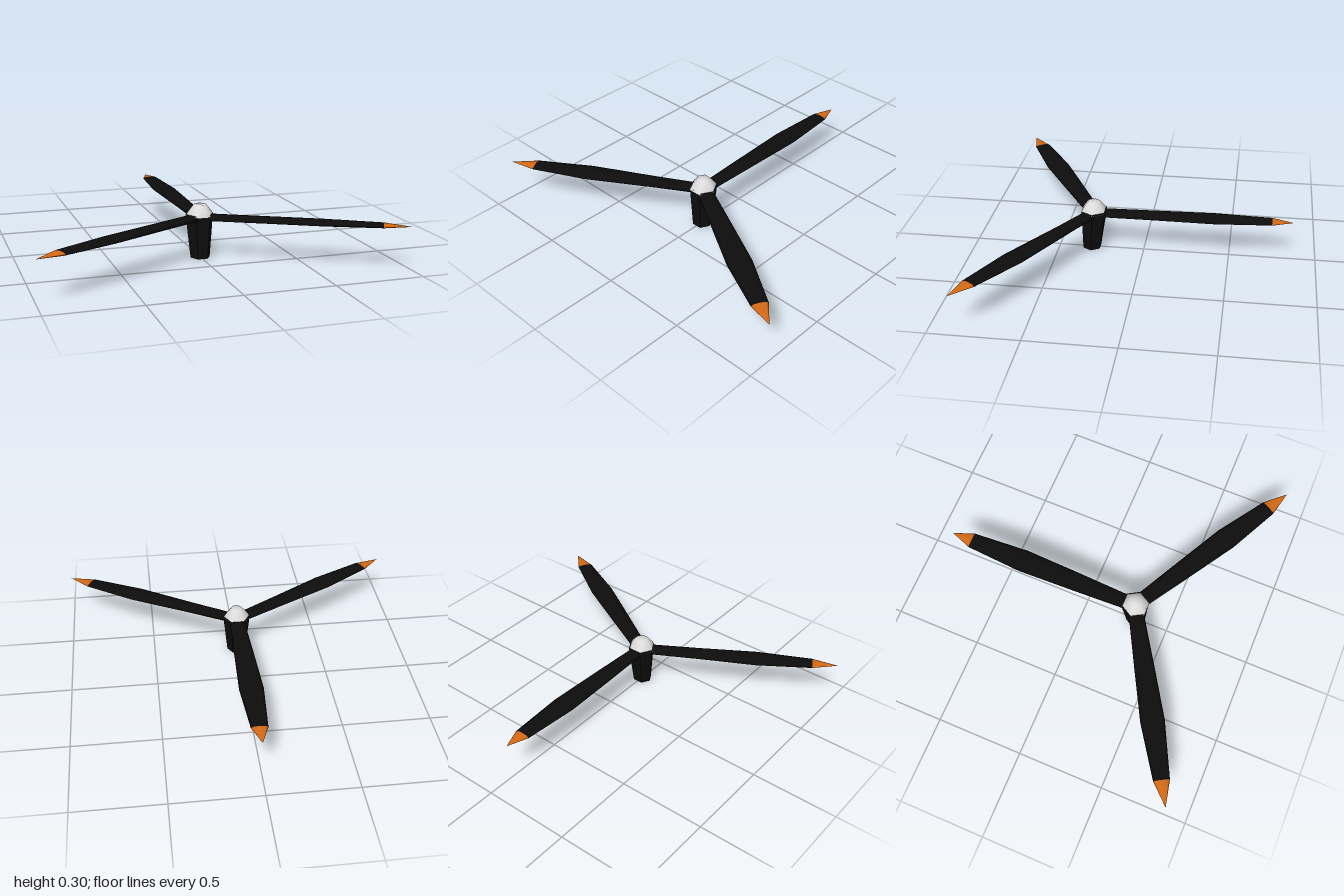
import * as THREE from 'three';
import { mergeVertices } from 'three/addons/utils/BufferGeometryUtils.js';

const black = new THREE.MeshStandardMaterial({ name: 'black', color: 0x0d0d0d });
const orange = new THREE.MeshStandardMaterial({ name: 'orange', color: 0xd66a14 });
const white = new THREE.MeshStandardMaterial({ name: 'white', color: 0xdcdcdc });

const HUB_Z = 0.29;

// Loft through oval sections [radius, halfWidth, halfThickness, height], running along +z
function loft(sections) {
  const geo = new THREE.LatheGeometry(sections.map((_, i) => new THREE.Vector2(1, i)), 8);
  const p = geo.attributes.position;
  for (let i = 0; i < p.count; i++) {
    const [r, w, t, h] = sections[Math.round(p.getY(i))];
    p.setXYZ(i, p.getX(i) * w, -p.getZ(i) * t + h, r);
  }
  geo.deleteAttribute('uv');
  geo.deleteAttribute('normal');
  const merged = mergeVertices(geo, 1e-5);
  merged.computeVertexNormals();
  return merged;
}

function add(parent, name, geo, material) {
  const mesh = new THREE.Mesh(geo, material);
  mesh.name = name;
  parent.add(mesh);
  return mesh;
}

// One blade: slim root, widest past the middle, pointed orange end
function makeBlade(name, angle, wide, tipStart) {
  const blade = new THREE.Group();
  blade.name = name;
  const end = [tipStart, 0.046, 0.011, 0.235];
  add(blade, 'bladeBody', loft([
    [0.04, 0.043, 0.02, 0.226],
    [0.35, 0.056, 0.016, 0.229],
    [wide, 0.068, 0.013, 0.232],
    end,
  ]), black);
  add(blade, 'bladeTip', loft([end, [1.15, 0.0005, 0.0005, 0.235]]), orange);
  blade.position.z = HUB_Z;
  blade.rotation.y = angle;
  return blade;
}

export function createModel() {
  const model = new THREE.Group();
  model.name = 'propeller';

  // Six-sided hub shaft, its narrow foot shifted so the front face stays upright
  const shaft = new THREE.CylinderGeometry(0.08, 0.056, 0.245, 6, 1, false, Math.PI / 6).toNonIndexed();
  const p = shaft.attributes.position;
  for (let i = 0; i < p.count; i++) if (p.getY(i) < 0) p.setZ(i, p.getZ(i) + 0.018);
  shaft.computeVertexNormals();
  add(model, 'hubShaft', shaft, black).position.set(0, 0.1225, HUB_Z);

  // Domed six-sided cap
  const profile = [[0.081, 0.236], [0.071, 0.256], [0.036, 0.299], [0, 0.299]];
  const cap = new THREE.LatheGeometry(profile.map(([r, y]) => new THREE.Vector2(r, y)), 6, Math.PI / 6);
  add(model, 'hubCap', cap, white).position.z = HUB_Z + 0.003;

  // Three blades
  model.add(
    makeBlade('backBlade', Math.PI, 0.7, 1.03),
    makeBlade('leftBlade', Math.PI / 3, 0.68, 1.005),
    makeBlade('rightBlade', -Math.PI / 3, 0.68, 1.005),
  );
  return model;
}
